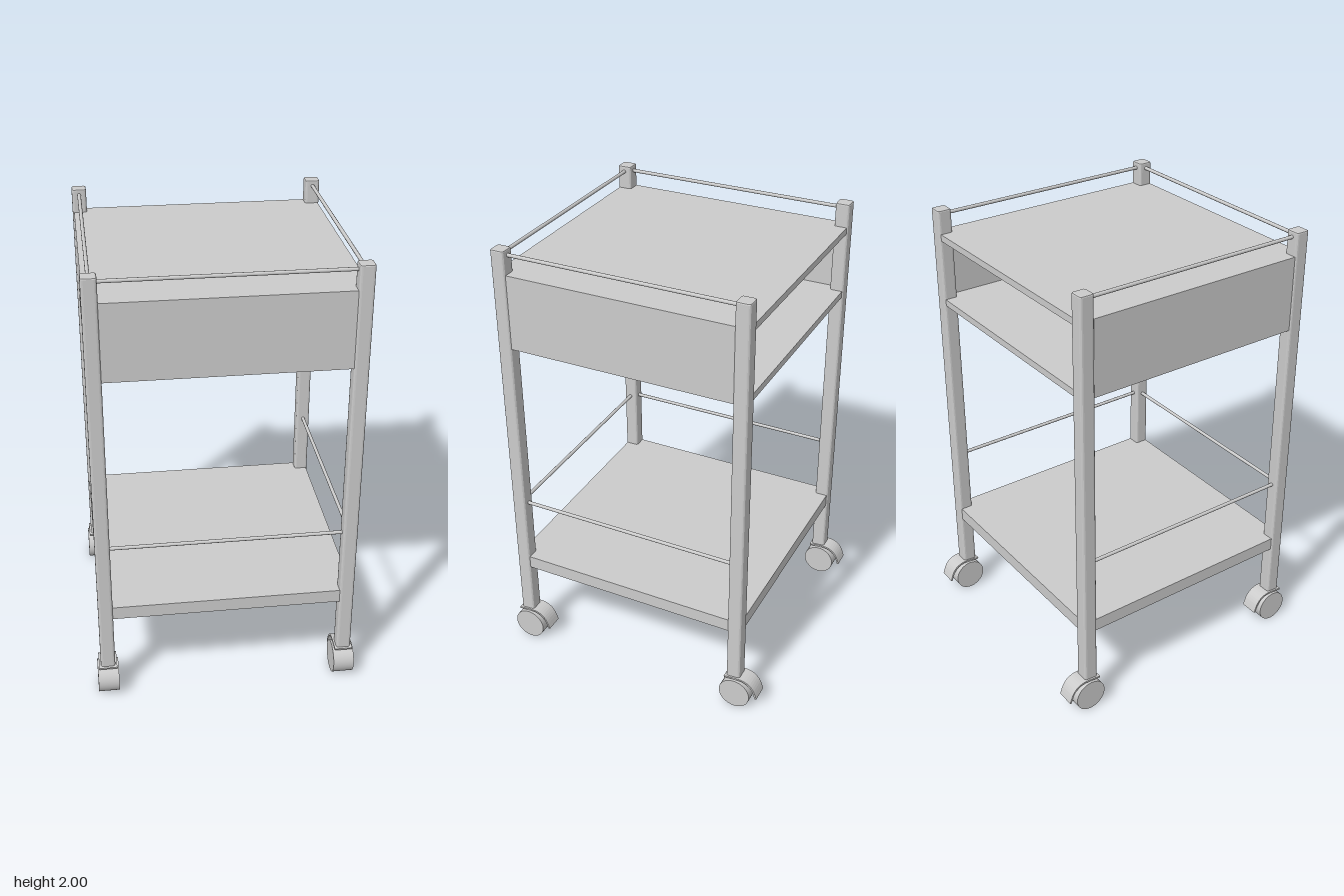
import * as THREE from 'three';

const grey = new THREE.MeshStandardMaterial({ color: 0xcccccc });

// Layout: post centres and the outer faces of the shelves
const POST_X = 0.534, FRONT = 0.566, BACK = -0.504, POST = 0.064;
const SHELF_X = 0.56, SHELF_FRONT = 0.592, SHELF_BACK = -0.53;

export function createModel() {
  const cart = new THREE.Group();
  cart.name = 'trolley';

  const add = (name, geometry, x, y, z, parent = cart) => {
    const mesh = new THREE.Mesh(geometry, grey);
    mesh.name = name;
    mesh.position.set(x, y, z);
    parent.add(mesh);
    return mesh;
  };

  // Box given by its limits
  const slab = (name, x0, x1, y0, y1, z0, z1) =>
    add(name, new THREE.BoxGeometry(x1 - x0, y1 - y0, z1 - z0),
      (x0 + x1) / 2, (y0 + y1) / 2, (z0 + z1) / 2);

  // Thin round rail between two points at the same height
  const rail = (name, y, x0, z0, x1, z1) => {
    const length = Math.hypot(x1 - x0, z1 - z0);
    const mesh = add(name, new THREE.CylinderGeometry(0.008, 0.008, length, 12),
      (x0 + x1) / 2, y, (z0 + z1) / 2);
    if (x0 !== x1) mesh.rotation.z = Math.PI / 2;
    else mesh.rotation.x = Math.PI / 2;
  };

  // Square post with softened long edges and top
  const bevel = 0.006, h = POST / 2 - bevel, r = 0.006;
  const section = new THREE.Shape();
  section.moveTo(-h + r, -h);
  section.lineTo(h - r, -h);
  section.quadraticCurveTo(h, -h, h, -h + r);
  section.lineTo(h, h - r);
  section.quadraticCurveTo(h, h, h - r, h);
  section.lineTo(-h + r, h);
  section.quadraticCurveTo(-h, h, -h, h - r);
  section.lineTo(-h, -h + r);
  section.quadraticCurveTo(-h, -h, -h + r, -h);
  const postGeometry = new THREE.ExtrudeGeometry(section, {
    depth: 1.85 - 2 * bevel, bevelThickness: bevel, bevelSize: bevel,
    bevelSegments: 2, curveSegments: 3,
  });
  postGeometry.rotateX(-Math.PI / 2).translate(0, 0.15 + bevel, 0);

  // Caster wheel and the curved brake guard over it, trailing to the back
  const wheelGeometry = new THREE.CylinderGeometry(0.073, 0.073, 0.093, 32).rotateZ(Math.PI / 2);
  const path = new THREE.SplineCurve([
    [-0.053, 0.149], [-0.02, 0.153], [0.03, 0.155], [0.065, 0.142], [0.088, 0.115], [0.103, 0.074],
  ].map(([s, y]) => new THREE.Vector2(s, y)));
  const outer = [], inner = [];
  for (let i = 0; i <= 16; i++) {
    const p = path.getPoint(i / 16), t = path.getTangent(i / 16);
    const n = new THREE.Vector2(-t.y, t.x).multiplyScalar(0.004);
    outer.push(p.clone().add(n));
    inner.unshift(p.clone().sub(n));
  }
  const guardGeometry = new THREE.ExtrudeGeometry(new THREE.Shape([...outer, ...inner]),
    { depth: 0.08, bevelEnabled: false });
  guardGeometry.translate(0, 0, -0.04).rotateY(Math.PI / 2);

  for (const [sideName, side] of [['left', 1], ['right', -1]]) {
    for (const [endName, z] of [['Front', FRONT], ['Back', BACK]]) {
      add(`${sideName}${endName}Post`, postGeometry, side * POST_X, 0, z);
      const caster = new THREE.Group();
      caster.name = `${sideName}${endName}Caster`;
      caster.position.set(side * POST_X, 0, z - 0.013);
      cart.add(caster);
      add('wheel', wheelGeometry, 0, 0.073, 0, caster);
      add('brakeGuard', guardGeometry, 0, 0, 0, caster);
      add('stem', new THREE.CylinderGeometry(0.012, 0.012, 0.05, 12), 0, 0.135, 0.013, caster);
    }
  }

  // Shelves
  slab('topShelf', -SHELF_X, SHELF_X, 1.865, 1.895, SHELF_BACK, SHELF_FRONT);
  slab('compartmentFloor', -SHELF_X, SHELF_X, 1.56, 1.59, SHELF_BACK, SHELF_FRONT);
  slab('lowerShelf', -SHELF_X, SHELF_X, 0.41, 0.47, SHELF_BACK, SHELF_FRONT);

  // Compartment walls, open at the back
  const wall = 0.016;
  slab('frontPanel', -SHELF_X, SHELF_X, 1.59, 1.865, SHELF_FRONT - wall, SHELF_FRONT);
  slab('leftPanel', SHELF_X - wall, SHELF_X, 1.59, 1.865, SHELF_BACK, SHELF_FRONT - wall);
  slab('rightPanel', -SHELF_X, -SHELF_X + wall, 1.59, 1.865, SHELF_BACK, SHELF_FRONT - wall);

  // Guard rails on the front and both sides
  for (const [level, y] of [['upper', 1.975], ['lower', 0.763]]) {
    rail(`${level}FrontRail`, y, -POST_X, FRONT, POST_X, FRONT);
    rail(`${level}LeftRail`, y, POST_X, BACK, POST_X, FRONT);
    rail(`${level}RightRail`, y, -POST_X, BACK, -POST_X, FRONT);
  }

  return cart;
}
